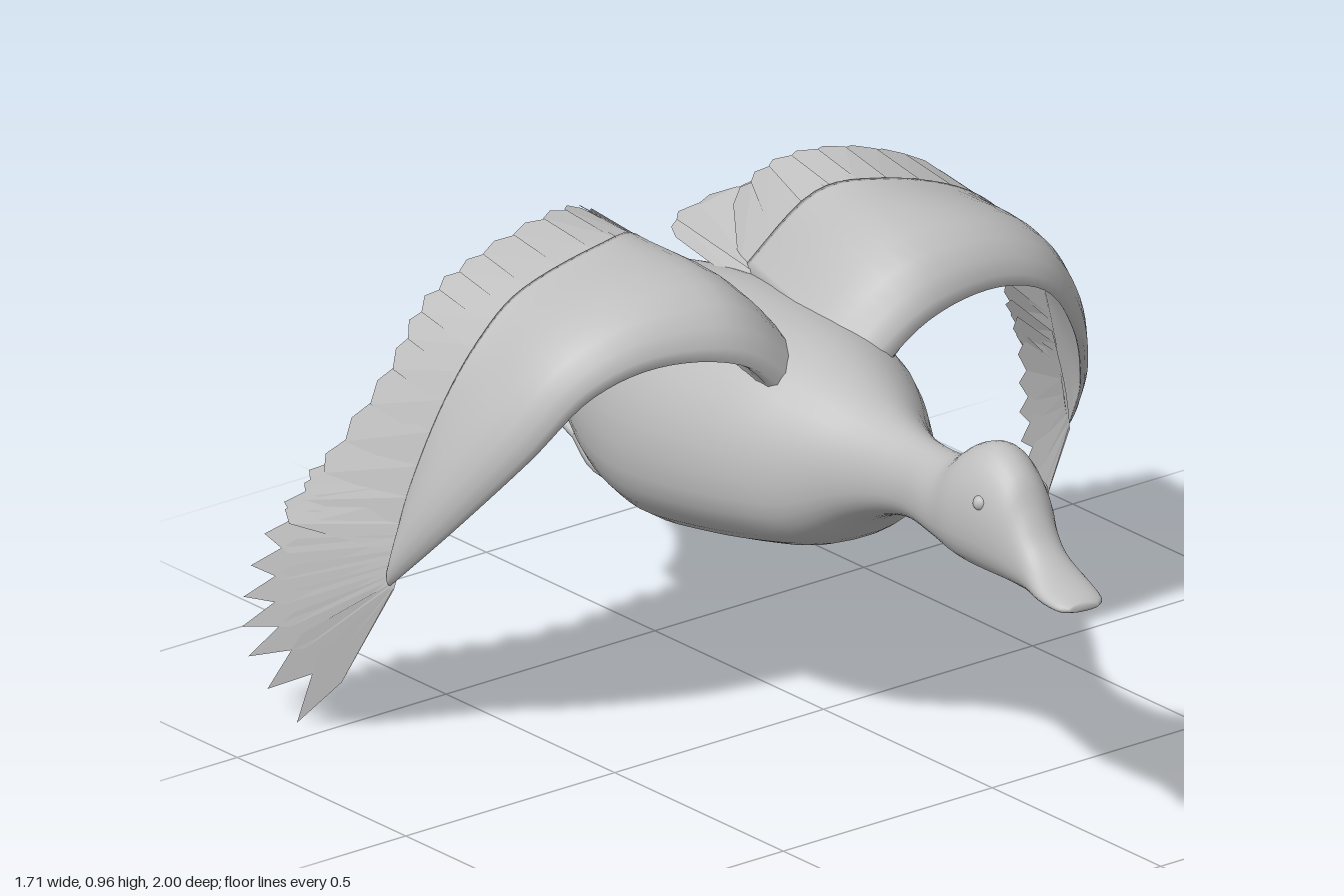
import * as THREE from 'three';

const plumage = new THREE.MeshStandardMaterial({ color: 0xbfbfbf, side: THREE.DoubleSide });
plumage.name = 'grey plumage';
const V = (x, y, z) => new THREE.Vector3(x, y, z);
const curve = (pts) => new THREE.CatmullRomCurve3(pts.map((p) => V(...p)), false, 'catmullrom', 0.5);

function mesh(name, geometry) {
  const m = new THREE.Mesh(geometry, plumage);
  m.name = name;
  return m;
}

// Skin over equal closed rings of points, with both ends capped
function loft(rings) {
  const n = rings[0].length, pos = [], index = [];
  rings.forEach((r) => r.forEach((p) => pos.push(p.x, p.y, p.z)));
  for (let i = 0; i < rings.length - 1; i++)
    for (let j = 0; j < n; j++) {
      const a = i * n + j, b = i * n + (j + 1) % n;
      index.push(a, b, a + n, b, b + n, a + n);
    }
  const last = (rings.length - 1) * n;
  for (let j = 1; j < n - 1; j++) index.push(0, j + 1, j, last, last + j, last + j + 1);
  const g = new THREE.BufferGeometry();
  g.setAttribute('position', new THREE.Float32BufferAttribute(pos, 3));
  g.setIndex(index);
  g.computeVertexNormals();
  return g;
}

// Row of pointed feathers between a base line and a tip line, each slightly lifted on one edge
function feathers(count, base, tip, shoulder, lift, overlap = 0.6) {
  const pos = [];
  for (let i = 0; i < count; i++) {
    const mid = (i + 0.5) / count, h = overlap / count, k = shoulder(mid);
    const a = Math.max(0, mid - h), b = Math.min(1, mid + h);
    const A = base(a), B = base(b), T = tip(mid);
    const SA = base(a).lerp(tip(a), k), SB = base(b).lerp(tip(b), k);
    SB.y += lift;
    for (const p of [A, B, SB, A, SB, SA, SA, SB, T]) pos.push(p.x, p.y, p.z);
  }
  const g = new THREE.BufferGeometry();
  g.setAttribute('position', new THREE.Float32BufferAttribute(pos, 3));
  g.computeVertexNormals();
  return g;
}

// Bill, head, neck and body in one loft: z, top, bottom, half width
function body() {
  const rows = [
    [1.006, 0.562, 0.548, 0.03], [0.985, 0.572, 0.543, 0.05], [0.93, 0.592, 0.543, 0.058],
    [0.87, 0.635, 0.54, 0.052], [0.83, 0.69, 0.537, 0.055], [0.79, 0.75, 0.537, 0.068],
    [0.72, 0.785, 0.535, 0.084], [0.65, 0.765, 0.537, 0.09], [0.57, 0.71, 0.545, 0.077],
    [0.46, 0.7, 0.547, 0.065], [0.38, 0.707, 0.53, 0.08], [0.3, 0.725, 0.49, 0.115],
    [0.2, 0.76, 0.415, 0.175], [0.08, 0.79, 0.38, 0.225], [-0.08, 0.795, 0.345, 0.25],
    [-0.25, 0.79, 0.315, 0.25], [-0.4, 0.765, 0.325, 0.225], [-0.53, 0.73, 0.36, 0.18],
    [-0.65, 0.685, 0.43, 0.14], [-0.76, 0.64, 0.51, 0.1], [-0.83, 0.605, 0.57, 0.055],
  ];
  const heights = curve(rows.map((r) => [r[0], r[1], r[2]]));
  const widths = curve(rows.map((r) => [r[3], 0, 0]));
  const rings = [];
  for (let i = 0; i <= 80; i++) {
    const { x: z, y: top, z: bottom } = heights.getPoint(i / 80), w = widths.getPoint(i / 80).x;
    const mid = bottom + (top - bottom) * 0.42, ring = [];
    for (let j = 0; j < 32; j++) {
      const a = (j / 32) * Math.PI * 2, c = Math.cos(a), s = Math.sin(a);
      const p = s < 0 ? 0.82 : 1;
      const y = Math.sign(s) * Math.abs(s) ** p * (s > 0 ? top - mid : mid - bottom);
      ring.push(V(w * Math.sign(c) * Math.abs(c) ** p, mid + y, z));
    }
    rings.push(ring);
  }
  return loft(rings);
}

function wing(s) {
  const g = new THREE.Group();
  g.name = s > 0 ? 'leftWing' : 'rightWing';
  const side = (pts) => curve(pts.map(([x, y, z]) => [x * s, y, z]));
  // Leading edge, end of the fleshy part, and feather tips, from root to wrist
  const lead = side([[0.07, 0.68, 0.13], [0.2, 0.785, 0.135], [0.36, 0.81, 0.11], [0.5, 0.765, 0.08],
    [0.6, 0.64, 0.02], [0.69, 0.48, -0.1], [0.735, 0.37, -0.2], [0.747, 0.335, -0.235]]);
  const rear = side([[0.06, 0.765, -0.3], [0.19, 0.915, -0.25], [0.31, 0.938, -0.2], [0.48, 0.885, -0.2],
    [0.58, 0.81, -0.19], [0.655, 0.69, -0.2], [0.71, 0.53, -0.225], [0.74, 0.4, -0.24]]);
  const tips = side([[0.15, 0.85, -0.46], [0.21, 0.92, -0.42], [0.32, 0.94, -0.38], [0.475, 0.89, -0.38],
    [0.575, 0.815, -0.4], [0.66, 0.7, -0.39], [0.75, 0.52, -0.46], [0.82, 0.38, -0.52]]);

  // Fleshy arm: a cambered airfoil swept along the wing, thick and rounded at the shoulder
  const rings = [];
  for (let i = 0; i <= 40; i++) {
    const u = i / 40, L = lead.getPoint(u), R = rear.getPoint(u), ring = [];
    const n = lead.getTangent(u).cross(R.clone().sub(L)).multiplyScalar(s).normalize();
    const thick = 0.045 * (1 - u) + 0.006 + 0.05 * Math.max(0, 1 - u * 4) ** 2;
    const camber = 0.06 * (1 - u * 0.85) * Math.min(1, u * 6);
    for (let j = 0; j < 20; j++) {
      const a = (j / 20) * Math.PI * 2, f = (1 - Math.cos(a)) / 2;
      const arch = 4 * f ** 0.75 * (1 - f) ** 1.6;
      ring.push(L.clone().lerp(R, f)
        .addScaledVector(n, Math.sin(a) * thick * Math.sqrt(1.001 - f) * 0.9 + camber * arch));
    }
    rings.push(ring);
  }
  g.add(mesh('wingArm', loft(rings)));

  // Flight feathers behind the arm
  const base = (u) => lead.getPoint(u).lerp(rear.getPoint(u), 0.985);
  g.add(mesh('secondaryFeathers', feathers(17, base, (u) => tips.getPoint(u), () => 0.88, 0.005)));

  // Long primaries fanning from the wrist
  const root = side([[0.7, 0.54, -0.215], [0.73, 0.43, -0.22], [0.74, 0.36, -0.22], [0.745, 0.33, -0.225]]);
  const fan = side([[0.75, 0.52, -0.47], [0.825, 0.37, -0.535], [0.855, 0.22, -0.575], [0.85, 0.09, -0.555],
    [0.785, -0.04, -0.45]]);
  g.add(mesh('primaryFeathers',
    feathers(9, (u) => root.getPoint(u), (u) => fan.getPoint(u), (u) => 0.82 - 0.2 * u, 0.004, 0.8)));

  // Broad inner feathers lying over the back, rooted under the shoulder skin
  const inner = side([[0.03, 0.765, -0.2], [0.1, 0.8, -0.2], [0.19, 0.89, -0.22]]);
  const outer = side([[0.035, 0.785, -0.49], [0.08, 0.795, -0.55], [0.17, 0.82, -0.55], [0.22, 0.89, -0.42]]);
  g.add(mesh('shoulderFeathers',
    feathers(4, (u) => inner.getPoint(u), (u) => outer.getPoint(u), () => 0.95, 0.004)));
  return g;
}

// Tucked leg with three toes and a web
function leg(s) {
  const g = new THREE.Group();
  g.name = s > 0 ? 'leftLeg' : 'rightLeg';
  const tube = (name, pts, r) => g.add(mesh(name,
    new THREE.TubeGeometry(curve(pts.map(([x, y, z]) => [x * s, y, z])), 10, r, 8)));
  tube('shank', [[0.1, 0.4, -0.38], [0.115, 0.355, -0.43], [0.13, 0.36, -0.49], [0.13, 0.4, -0.55]], 0.016);
  const ends = [[0.1, 0.465, -0.635], [0.13, 0.485, -0.64], [0.155, 0.455, -0.61]];
  for (const e of ends) tube('toe', [[0.13, 0.39, -0.54], [(0.13 + e[0]) / 2, 0.42, -0.59], e], 0.011);
  const web = curve(ends.map(([x, y, z]) => [x * s, y, z]));
  g.add(mesh('web', feathers(2, () => V(0.13 * s, 0.39, -0.54), (u) => web.getPoint(u), () => 0.85, 0, 0.5)));
  return g;
}

export function createModel() {
  const bird = new THREE.Group();
  bird.name = 'flyingDuck';
  bird.add(mesh('body', body()));

  // Tail: a pointed fan of broad feathers
  const k = (u) => u * 2 - 1;
  bird.add(mesh('tailFeathers', feathers(11,
    (u) => V(0.125 * k(u), 0.605 - 0.02 * k(u) ** 2, -0.56),
    (u) => V(0.15 * k(u), 0.595 - 0.03 * k(u) ** 2, -1.006 + 0.19 * Math.abs(k(u)) + 0.13 * k(u) ** 4),
    () => 0.9, 0.006, 0.9)));

  for (const s of [1, -1]) {
    bird.add(wing(s), leg(s));
    const eye = mesh('eye', new THREE.SphereGeometry(0.016, 14, 10));
    eye.position.set(0.064 * s, 0.69, 0.745);
    bird.add(eye);
  }

  // The bird flies slightly turned to its right
  bird.rotation.y = -0.115;
  bird.position.x = -0.065;
  const model = new THREE.Group();
  model.add(bird);
  return model;
}
